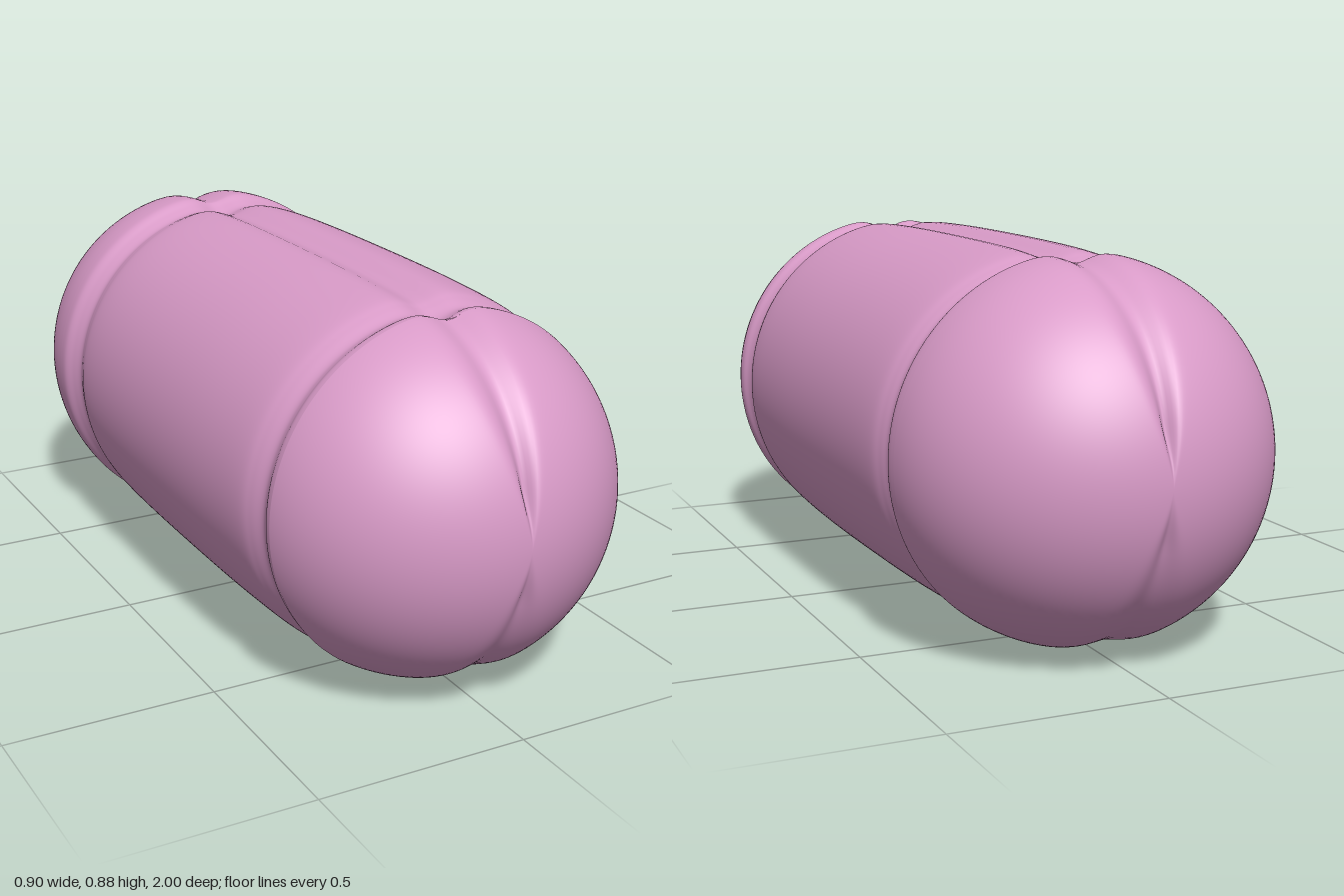
import * as THREE from 'three';
import { mergeVertices } from 'three/addons/utils/BufferGeometryUtils.js';

const CENTRE_Y = 0.44;

// Points along a round end cap, from the rim to the pole.
function capPoints(centre, radius, startAngle, dir) {
  const points = [];
  for (let i = 0; i <= 36; i++) {
    const a = startAngle + (Math.PI / 2 - startAngle) * (i / 36);
    points.push(new THREE.Vector2(i === 36 ? 0 : radius * Math.cos(a), dir * (centre + radius * Math.sin(a))));
  }
  return points;
}

// Full profile from back pole to front pole, with a ring groove near each end.
function profile() {
  const back = capPoints(0.553, 0.447, 0.06, -1).reverse();
  const front = capPoints(0.556, 0.444, 0.22, 1);
  const waist = [
    [-0.545, 0.446], [-0.515, 0.433], [-0.485, 0.424], [-0.455, 0.431], [-0.41, 0.441],
    [-0.3, 0.447], [-0.1, 0.45], [0.2, 0.45], [0.4, 0.446], [0.51, 0.44],
    [0.555, 0.43], [0.59, 0.419], [0.612, 0.422], [0.633, 0.431],
  ].map(([z, r]) => new THREE.Vector2(r, z));
  const curve = new THREE.SplineCurve([back.at(-1), ...waist, front[0]]);
  return [...back, ...curve.getPoints(90).slice(1, -1), ...front];
}

// Smooth lengthwise seams, pressed in along the surface normal.
function pressSeams(geometry) {
  const pos = geometry.attributes.position;
  const nor = geometry.attributes.normal;
  const p = new THREE.Vector3();
  const n = new THREE.Vector3();
  for (let i = 0; i < pos.count; i++) {
    p.fromBufferAttribute(pos, i);
    n.fromBufferAttribute(nor, i);
    const top = Math.atan2(p.x, p.y);
    const bottom = Math.atan2(p.x, -p.y);
    const fade = THREE.MathUtils.smoothstep(Math.hypot(p.x, p.y), 0.01, 0.14);
    const depth = 0.026 * Math.exp(-((top / 0.11) ** 2)) + 0.016 * Math.exp(-((bottom / 0.14) ** 2));
    p.addScaledVector(n, -depth * fade);
    pos.setXYZ(i, p.x, p.y, p.z);
  }
}

export function createModel() {
  const group = new THREE.Group();
  group.name = 'capsule';

  // Lathe turned to lie along z
  let geometry = new THREE.LatheGeometry(profile(), 192);
  geometry.rotateX(Math.PI / 2);
  pressSeams(geometry);

  // Weld the lathe joint so shading is continuous
  geometry.deleteAttribute('uv');
  geometry.deleteAttribute('normal');
  geometry = mergeVertices(geometry, 1e-5);
  geometry.computeVertexNormals();

  const body = new THREE.Mesh(geometry, new THREE.MeshStandardMaterial({ color: 0xd99bc8 }));
  body.name = 'groovedBody';
  body.position.y = CENTRE_Y;
  group.add(body);
  return group;
}
